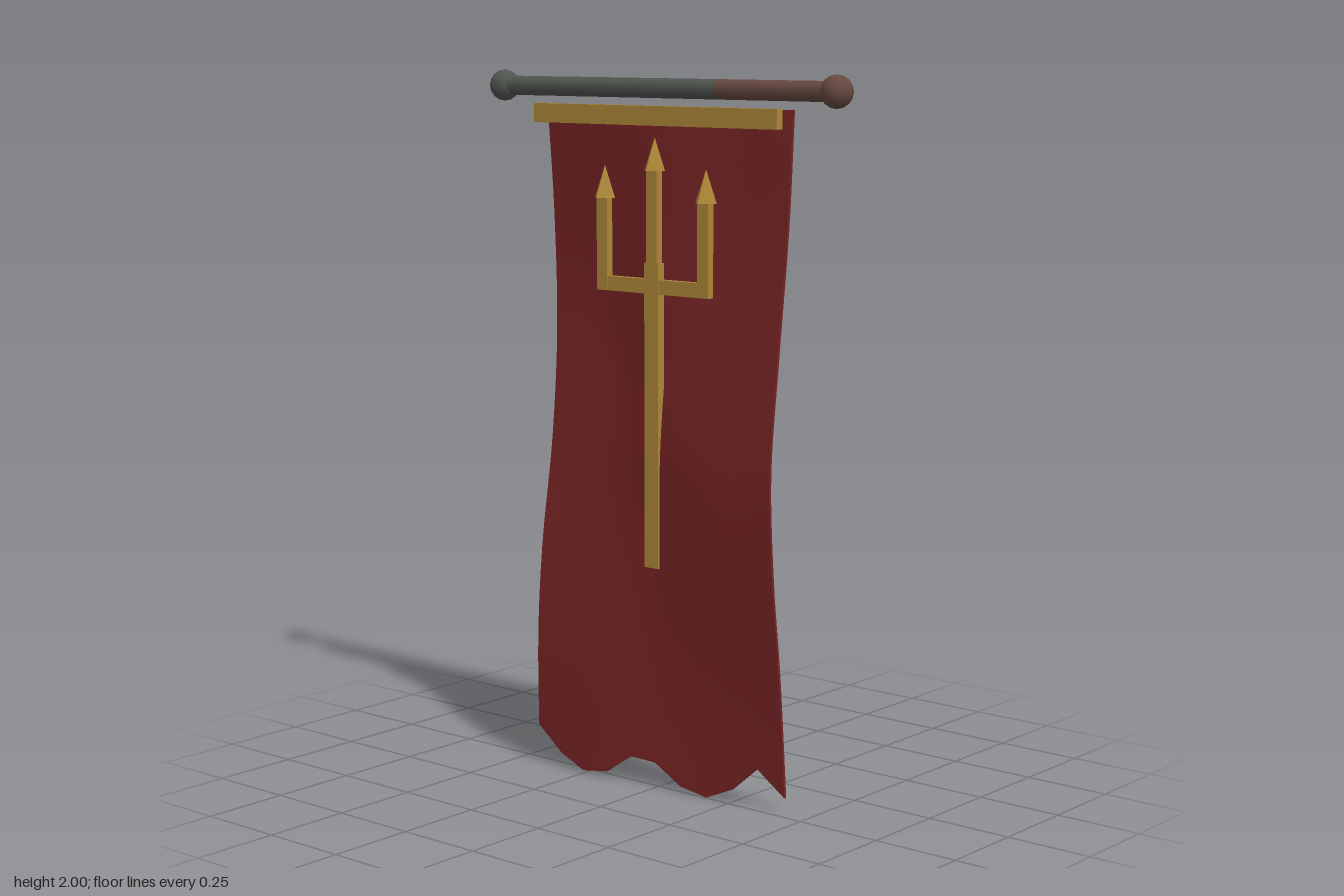
import * as THREE from 'three';

const material = (name, color) => {
  const m = new THREE.MeshStandardMaterial({ color });
  m.name = name;
  return m;
};

export function createModel() {
  const red = material('crimson cloth', 0x782425);
  const gold = material('dull gold', 0xae8638);
  const iron = material('grey iron', 0x50554f);
  const rust = material('rusty iron', 0x664840);

  const model = new THREE.Group();
  model.name = 'hangingBanner';
  const add = (parent, name, geometry, mat, x, y, z) => {
    const mesh = new THREE.Mesh(geometry, mat);
    mesh.name = name;
    mesh.position.set(x, y, z);
    parent.add(mesh);
    return mesh;
  };

  // Horizontal pole, iron for most of its length and rusty at one end
  const pole = new THREE.Group();
  pole.name = 'pole';
  model.add(pole);
  const poleY = 1.956, poleZ = -0.012, end = 0.587, split = 0.2;
  const rod = (name, x0, x1, mat) => {
    const g = new THREE.CylinderGeometry(0.027, 0.027, x1 - x0, 12).rotateZ(Math.PI / 2);
    add(pole, name, g, mat, (x0 + x1) / 2, poleY, poleZ);
  };
  rod('ironRod', -end, split, iron);
  rod('rustyRod', split, end, rust);
  for (const [x, mat] of [[-end, iron], [end, rust]]) {
    add(pole, 'finial', new THREE.SphereGeometry(0.044, 12, 8), mat, x, poleY, poleZ);
  }

  // Cloth: depth of the folds, rows from bottom to top, columns from -x to +x
  const foldX = [-0.425, -0.2, 0, 0.2, 0.425];
  const foldY = [0, 0.4, 0.65, 0.95, 1.25, 1.6, 1.905];
  const folds = [
    0.033, 0.030, 0.012, -0.010, -0.035,
    0.035, 0.030, 0.020, 0.012, 0.000,
    0.015, 0.015, 0.021, 0.035, 0.030,
    -0.030, -0.015, 0.018, 0.040, 0.045,
    -0.053, -0.053, -0.008, 0.002, 0.015,
    -0.045, -0.045, -0.030, -0.038, -0.025,
    -0.020, -0.020, -0.030, -0.050, -0.045,
  ];
  const rows = new THREE.CubicInterpolant(foldY, folds, 5, new Float32Array(5));
  const foldDepth = (x, y) => {
    const row = rows.evaluate(y);
    return new THREE.CubicInterpolant(foldX, row, 1, new Float32Array(1)).evaluate(x)[0];
  };

  // Ragged hem heights at even steps across the width
  const hem = [0.115, 0.045, 0.008, 0.02, 0.08, 0.075, 0.02, 0.002, 0.04, 0.115, 0.045];
  const hemHeight = (x) => {
    const t = THREE.MathUtils.clamp((x + 0.425) / 0.085, 0, 10);
    const i = Math.min(Math.floor(t), 9);
    return THREE.MathUtils.lerp(hem[i], hem[i + 1], t - i);
  };

  const cloth = new THREE.BoxGeometry(0.85, 1, 0.008, 20, 36, 1);
  const p = cloth.attributes.position;
  for (let i = 0; i < p.count; i++) {
    const x = THREE.MathUtils.clamp(p.getX(i), -0.425, 0.425);
    const y = THREE.MathUtils.lerp(hemHeight(x), 1.905, p.getY(i) + 0.5);
    p.setXYZ(i, x, y, p.getZ(i) + foldDepth(x, Math.min(y, 1.9049)));
  }
  cloth.computeVertexNormals();
  add(model, 'cloth', cloth, red, 0, 0, 0);

  // Gold bar across the top of the cloth
  add(model, 'topBar', new THREE.BoxGeometry(0.86, 0.053, 0.025), gold, 0, 1.883, 0.023);

  // Trident emblem
  const trident = new THREE.Group();
  trident.name = 'trident';
  model.add(trident);
  const z = 0.021;
  const bar = (name, x, y0, y1, width, depth) =>
    add(trident, name, new THREE.BoxGeometry(width, y1 - y0, depth), gold, x, (y0 + y1) / 2, z);
  bar('shaft', 0, 0.637, 1.485, 0.05, 0.024);
  bar('crossbar', 0, 1.4, 1.44, 0.396, 0.02);
  for (const [x, base] of [[-0.18, 1.655], [0, 1.735], [0.18, 1.655]]) {
    bar('tine', x, 1.402, base, 0.038, 0.022);
    const point = new THREE.ConeGeometry(0.037, 0.09, 4).toNonIndexed();
    point.computeVertexNormals();
    add(trident, 'spearPoint', point, gold, x, base + 0.045, z - 0.003);
  }
  return model;
}
